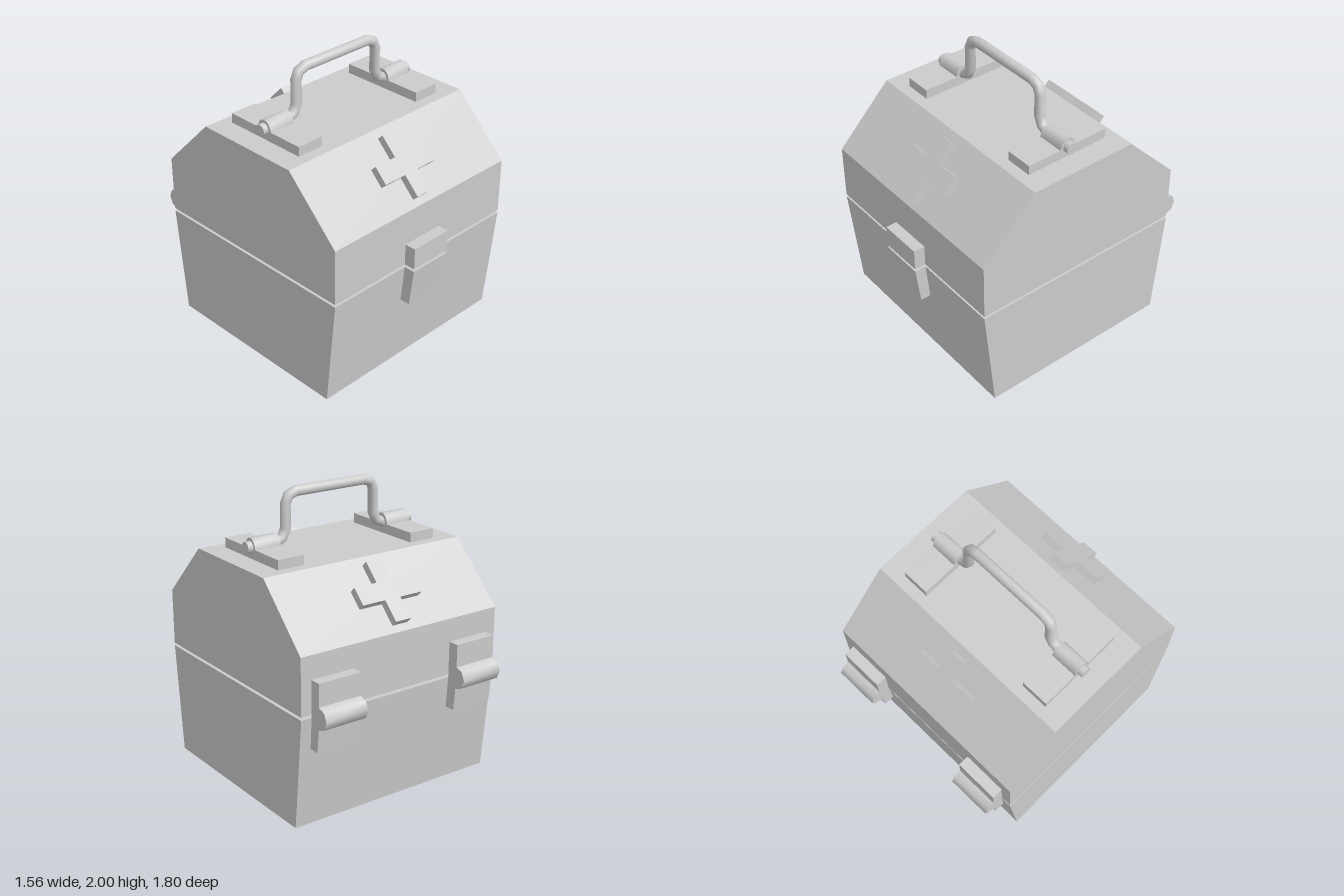
import * as THREE from 'three';
import { toCreasedNormals } from 'three/addons/utils/BufferGeometryUtils.js';

const material = new THREE.MeshStandardMaterial({ color: 0xcccccc });
const CZ = 0.04; // the box and handle are centred here in z

function add(parent, name, geometry) {
  const mesh = new THREE.Mesh(geometry, material);
  mesh.name = name;
  parent.add(mesh);
  return mesh;
}

// Side profile of [z, y] points, extruded along x from x0 to x1
function prism(profile, x0, x1, crease = 0.5) {
  const shape = new THREE.Shape(profile.map(([z, y]) => new THREE.Vector2(-z, y)));
  const g = new THREE.ExtrudeGeometry(shape, { depth: x1 - x0, bevelEnabled: false });
  g.rotateY(Math.PI / 2).translate(x0, 0, 0);
  return toCreasedNormals(g, crease);
}

// Polyline whose tube rings sit exactly on the given points
class Polyline extends THREE.Curve {
  constructor(points) {
    super();
    this.points = points;
  }
  index(u) {
    return Math.round(u * (this.points.length - 1));
  }
  getPointAt(u) {
    return this.points[this.index(u)].clone();
  }
  getPoint(u) {
    return this.getPointAt(u);
  }
  getTangentAt(u) {
    const p = this.points, i = this.index(u), t = new THREE.Vector3();
    if (i > 0) t.add(p[i].clone().sub(p[i - 1]).normalize());
    if (i < p.length - 1) t.add(p[i + 1].clone().sub(p[i]).normalize());
    return t.normalize();
  }
}

// Plus shape lying in the xy plane
function crossGeometry() {
  const w = 0.06, h = 0.065, X = 0.235, Y = 0.222;
  const pts = [[w, -Y], [w, -h], [X, -h], [X, h], [w, h], [w, Y],
    [-w, Y], [-w, h], [-X, h], [-X, -h], [-w, -h], [-w, -Y]];
  const shape = new THREE.Shape(pts.map(([x, y]) => new THREE.Vector2(x, y)));
  return new THREE.ExtrudeGeometry(shape, { depth: 0.053, bevelEnabled: false });
}

export function createModel() {
  const group = new THREE.Group();
  group.name = 'medicalCase';

  // Tapered base and chamfered lid, with a thin gap between
  const W = 0.782;
  add(group, 'base', prism([[0.75, 0], [0.825, 0.77], [-0.745, 0.77], [-0.67, 0]], -W, W));
  add(group, 'lid', prism([[0.825, 0.79], [0.825, 1.18], [0.43, 1.573],
    [-0.35, 1.573], [-0.745, 1.18], [-0.745, 0.79]], -W, W));

  // Front clasp
  add(group, 'claspTop', prism([[0.82, 0.79], [0.905, 0.79], [0.905, 0.942], [0.82, 0.942]], -0.157, 0.157));
  add(group, 'claspBottom', prism([[0.79, 0.5], [0.872, 0.5], [0.905, 0.77], [0.82, 0.77]], -0.157, 0.157));

  // Raised crosses on both lid slopes
  for (const s of [1, -1]) {
    const pivot = new THREE.Group();
    pivot.name = s > 0 ? 'frontCross' : 'backCross';
    pivot.position.z = CZ;
    pivot.rotation.y = s > 0 ? 0 : Math.PI;
    const cross = add(pivot, 'cross', crossGeometry());
    cross.position.set(0, 1.374, 0.592);
    cross.rotation.x = -Math.PI / 4;
    group.add(pivot);
  }

  // Back hinges, handle mounts and pins, on either side
  const hinge = [[-0.73, 0.555], [-0.745, 0.77], [-0.745, 1.02], [-0.822, 1.02], [-0.822, 0.865],
    [-0.875, 0.845], [-0.9, 0.79], [-0.875, 0.733], [-0.818, 0.71], [-0.805, 0.555]];
  const barrel = [[0.1, 1.6], [0.1, 1.645], [0.086, 1.685], [0.06, 1.708],
    [0.02, 1.708], [-0.006, 1.685], [-0.02, 1.645], [-0.02, 1.6]];
  for (const s of [1, -1]) {
    const span = (a, b) => (s > 0 ? [a, b] : [-b, -a]);
    const side = s > 0 ? 'left' : 'right';
    add(group, side + 'Hinge', prism(hinge, ...span(0.39, 0.705), 0.95));
    add(group, side + 'HandlePlate', new THREE.BoxGeometry(0.195, 0.075, 0.625))
      .position.set(s * 0.5275, 1.6025, 0.0375);
    add(group, side + 'HandleMount', prism(barrel, ...span(0.433, 0.627), 0.8));
    const pin = add(group, side + 'HandlePin', new THREE.CylinderGeometry(0.039, 0.039, 0.225, 16));
    pin.rotation.z = Math.PI / 2;
    pin.position.set(s * 0.5525, 1.65, CZ);
  }

  // Bent carrying handle
  const half = [[0.48, 1.65], [0.432, 1.65], [0.382, 1.672], [0.355, 1.73],
    [0.355, 1.89], [0.332, 1.943], [0.275, 1.965]];
  const path = [...half.map(([x, y]) => [-x, y]), ...half.slice().reverse()];
  const curve = new Polyline(path.map(([x, y]) => new THREE.Vector3(x, y, CZ)));
  add(group, 'handle', new THREE.TubeGeometry(curve, path.length - 1, 0.036, 16, false));

  return group;
}
